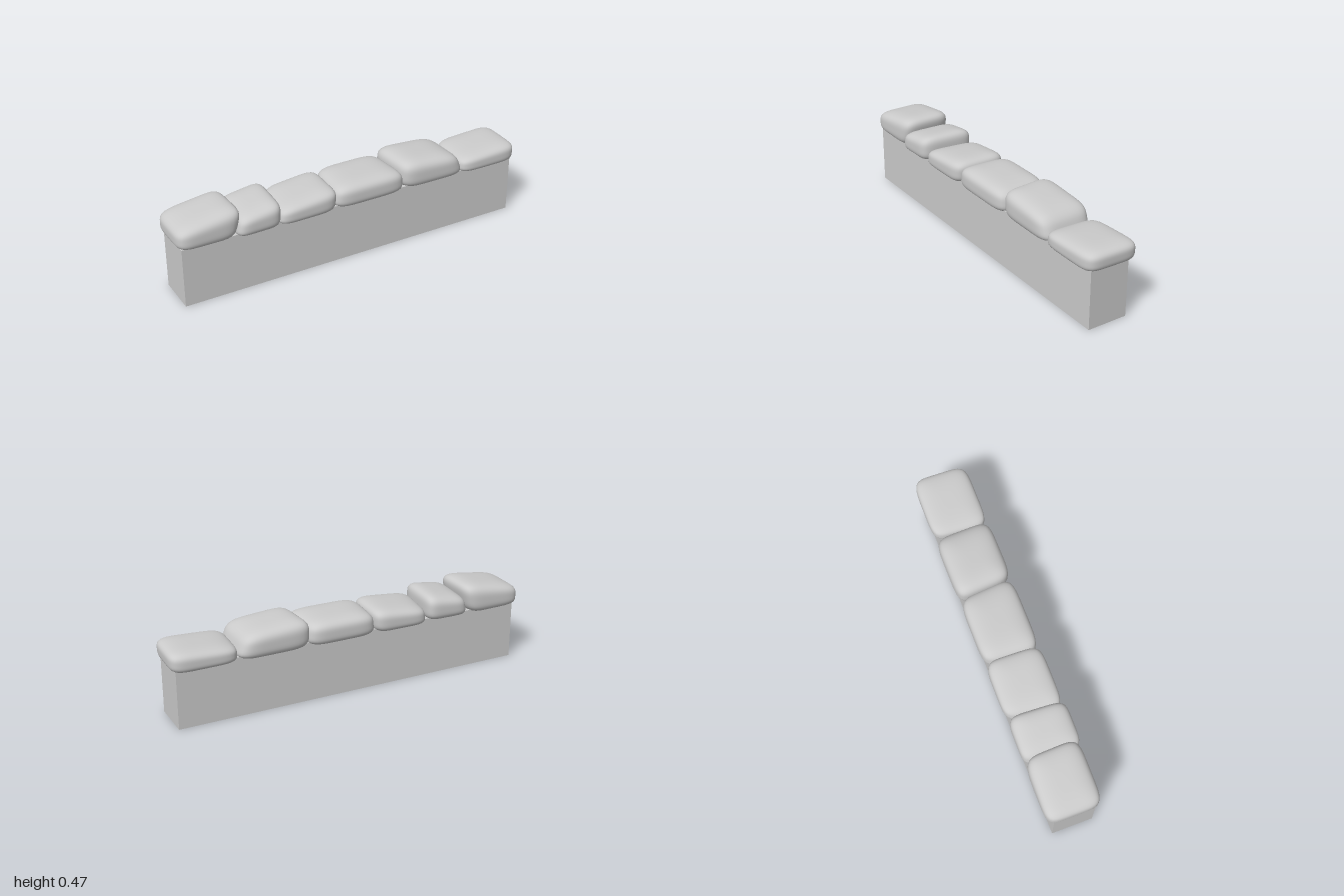
import * as THREE from 'three';
import { mergeVertices } from 'three/addons/utils/BufferGeometryUtils.js';

const grey = new THREE.MeshStandardMaterial({ color: 0xcccccc });
const greyOpen = new THREE.MeshStandardMaterial({ color: 0xcccccc, side: THREE.DoubleSide });
const lerp = THREE.MathUtils.lerp;

// Each capstone: front outline corners [x, y] (bottom left, bottom right,
// top right, top left), z range, and x skew of its left/right end from back to front.
const STONES = [
  { c: [[-1.0, 0.312], [-0.69, 0.303], [-0.645, 0.488], [-1.0, 0.432]], z: [-0.156, 0.139], skew: [0, 0.005] },
  { c: [[-0.692, 0.308], [-0.437, 0.308], [-0.435, 0.462], [-0.668, 0.423]], z: [-0.154, 0.154], skew: [-0.008, -0.008] },
  { c: [[-0.45, 0.303], [-0.122, 0.301], [-0.112, 0.441], [-0.432, 0.404]], z: [-0.156, 0.146], skew: [-0.02, -0.004] },
  { c: [[-0.135, 0.301], [0.28, 0.301], [0.267, 0.437], [-0.118, 0.435]], z: [-0.157, 0.143], skew: [-0.01, 0.013] },
  { c: [[0.263, 0.302], [0.665, 0.303], [0.61, 0.445], [0.26, 0.472]], z: [-0.16, 0.142], skew: [0.012, 0.005] },
  { c: [[0.635, 0.306], [0.995, 0.302], [1.0, 0.423], [0.642, 0.4]], z: [-0.157, 0.143], skew: [-0.008, -0.004] },
];

// A subdivided cube is rounded to a pillow, then fitted to the stone's outline
function stoneGeometry({ c, z, skew }) {
  let g = new THREE.BoxGeometry(2, 2, 2, 14, 14, 14);
  g.deleteAttribute('normal');
  g.deleteAttribute('uv');
  g = mergeVertices(g);
  const p = g.attributes.position;
  const norm = (a, b, n) => Math.pow(Math.abs(a) ** n + Math.abs(b) ** n, 1 / n);
  for (let i = 0; i < p.count; i++) {
    const x = p.getX(i), y = p.getY(i), w = p.getZ(i);
    // The underside is squarer than the top
    const r = norm(norm(x, w, 5.5), y, y < 0 ? 4 : 3.4);
    const u = (x / r + 1) / 2, v = (y / r + 1) / 2, d = w / r;
    const corner = (k) => lerp(lerp(c[0][k], c[1][k], u), lerp(c[3][k], c[2][k], u), v);
    p.setXYZ(i, corner(0) + d * lerp(skew[0], skew[1], u), corner(1), lerp(z[0], z[1], (d + 1) / 2));
  }
  g.computeVertexNormals();
  return g;
}

// Box without its underside (the fourth face of the box)
function openBox(w, h, d) {
  const g = new THREE.BoxGeometry(w, h, d);
  g.setIndex([...g.index.array].filter((_, i) => i < 18 || i >= 24));
  g.clearGroups();
  return g;
}

export function createModel() {
  const model = new THREE.Group();
  model.name = 'stoneCappedWall';

  // Plain hollow wall body, open at the bottom
  const wall = new THREE.Mesh(openBox(1.95, 0.325, 0.222), greyOpen);
  wall.name = 'wallBody';
  wall.position.set(-0.005, 0.1625, 0);
  model.add(wall);

  // Row of uneven rounded capstones
  const caps = new THREE.Group();
  caps.name = 'capstones';
  STONES.forEach((s, i) => {
    const stone = new THREE.Mesh(stoneGeometry(s), grey);
    stone.name = `capstone${i + 1}`;
    caps.add(stone);
  });
  model.add(caps);
  return model;
}
